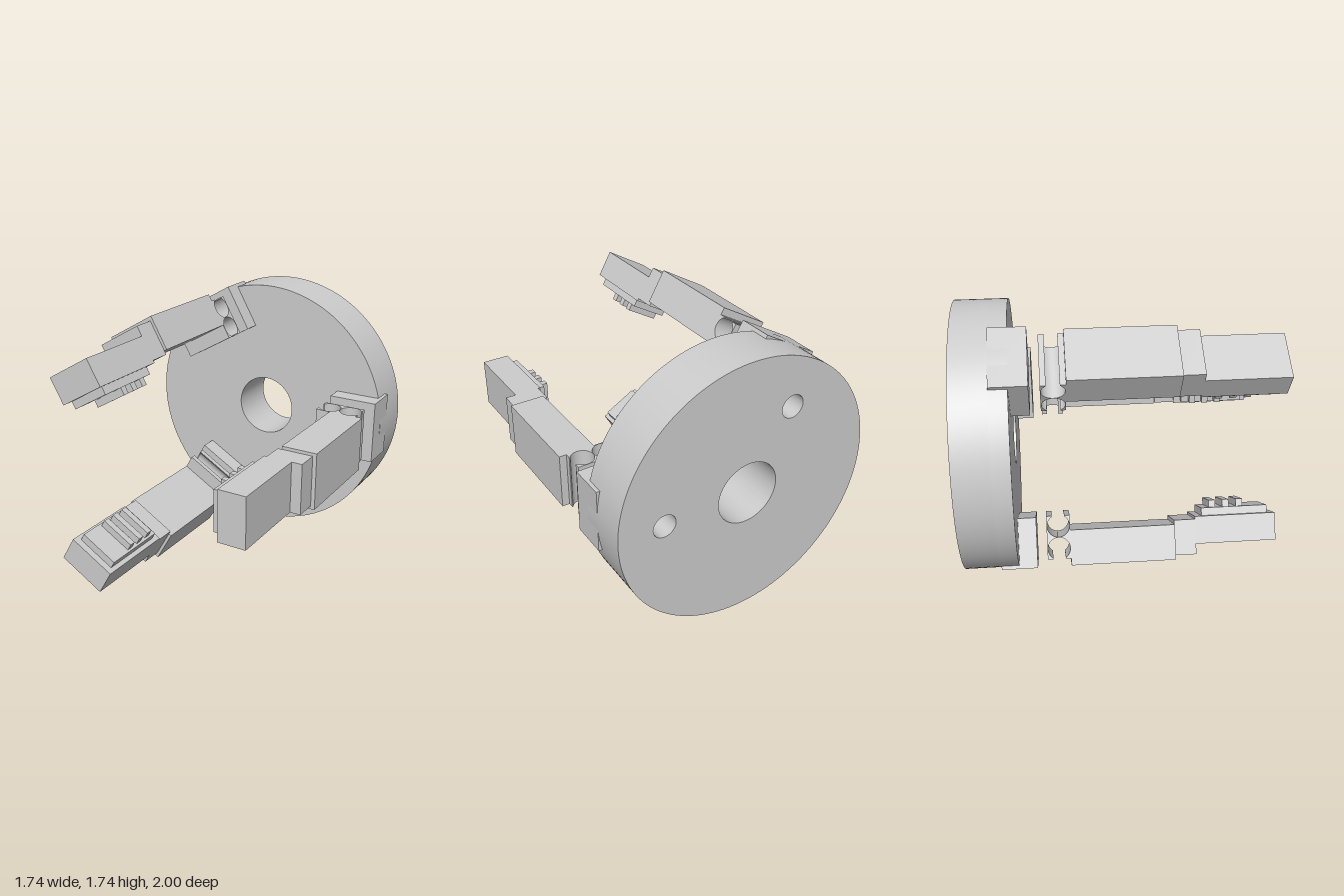
import * as THREE from 'three';
import { toCreasedNormals } from 'three/addons/utils/BufferGeometryUtils.js';

const material = new THREE.MeshStandardMaterial({ color: 0xcccccc });
const CENTER_Y = 0.87;

function addMesh(parent, name, geometry) {
  const mesh = new THREE.Mesh(geometry, material);
  mesh.name = name;
  parent.add(mesh);
  return mesh;
}

// Box in finger space: x = radial distance, y = +-halfWidth, z = along the axis
function addBlock(parent, name, [x0, x1], halfWidth, [z0, z1]) {
  const mesh = addMesh(parent, name, new THREE.BoxGeometry(x1 - x0, 2 * halfWidth, z1 - z0));
  mesh.position.set((x0 + x1) / 2, 0, (z0 + z1) / 2);
}

function extrude(shape, depth, curveSegments) {
  const geometry = new THREE.ExtrudeGeometry(shape, { depth, curveSegments, bevelEnabled: false });
  return toCreasedNormals(geometry, Math.PI / 6);
}

// Disc layer with a central bore and optional small holes
function addDisc(parent, name, z0, z1, holeAngles) {
  const shape = new THREE.Shape().absarc(0, 0, 0.868, 0, Math.PI * 2);
  const cut = (x, y, r) => shape.holes.push(new THREE.Path().absarc(x, y, r, 0, Math.PI * 2, true));
  cut(0, 0, 0.206);
  for (const a of holeAngles) cut(0.57 * Math.cos(a), 0.57 * Math.sin(a), 0.075);
  const mesh = addMesh(parent, name, extrude(shape, z1 - z0, 64));
  mesh.position.z = z0;
}

// Flexure hinge: a block necked by a round slot on either side
function addHinge(parent) {
  const r = 0.071, slot = 0.04, cx = 0.0725, hx = 0.1375, hz = 0.075;
  const a = Math.asin(slot / r);
  const shape = new THREE.Shape();
  shape.moveTo(-hx, -hz);
  shape.lineTo(hx, -hz);
  shape.lineTo(hx, -slot);
  shape.absarc(cx, 0, r, -a, a, true);
  shape.lineTo(hx, slot);
  shape.lineTo(hx, hz);
  shape.lineTo(-hx, hz);
  shape.lineTo(-hx, slot);
  shape.absarc(-cx, 0, r, Math.PI - a, Math.PI + a, true);
  shape.lineTo(-hx, -slot);
  shape.closePath();
  const geometry = extrude(shape, 0.36, 32);
  geometry.translate(0, 0, -0.18).rotateX(Math.PI / 2);
  addMesh(parent, 'flexureHinge', geometry).position.set(0.6825, 0, -0.406);
}

function createFinger() {
  const finger = new THREE.Group();
  finger.name = 'finger';
  addBlock(finger, 'fingerMount', [0.547, 0.866], 0.207, [-0.773, -0.545]);
  addHinge(finger);
  addBlock(finger, 'lowerSegment', [0.64, 0.866], 0.18, [-0.331, 0.34]);
  addBlock(finger, 'middleSegment', [0.614, 0.841], 0.16, [0.34, 0.477]);
  addBlock(finger, 'fingertip', [0.597, 0.774], 0.16, [0.477, 1]);
  addBlock(finger, 'gripPad', [0.547, 0.597], 0.13, [0.525, 0.956]);
  // Ridges across the grip pad
  for (const z of [0.598, 0.688, 0.778]) {
    addBlock(finger, 'gripRidge', [0.5, 0.547], 0.115, [z - 0.021, z + 0.021]);
  }
  return finger;
}

export function createModel() {
  const model = new THREE.Group();
  model.name = 'threeFingerGripper';
  const body = new THREE.Group();
  body.position.y = CENTER_Y;
  body.name = 'gripper';
  model.add(body);

  // Palm: the back layer carries two blind holes, the front layer closes them
  const step = (Math.PI * 2) / 3;
  addDisc(body, 'palmBack', -1, -0.775, [0, step]);
  addDisc(body, 'palmFront', -0.775, -0.66, []);

  for (let i = 0; i < 3; i++) {
    const finger = createFinger();
    finger.rotation.z = i * step;
    body.add(finger);
  }
  return model;
}
